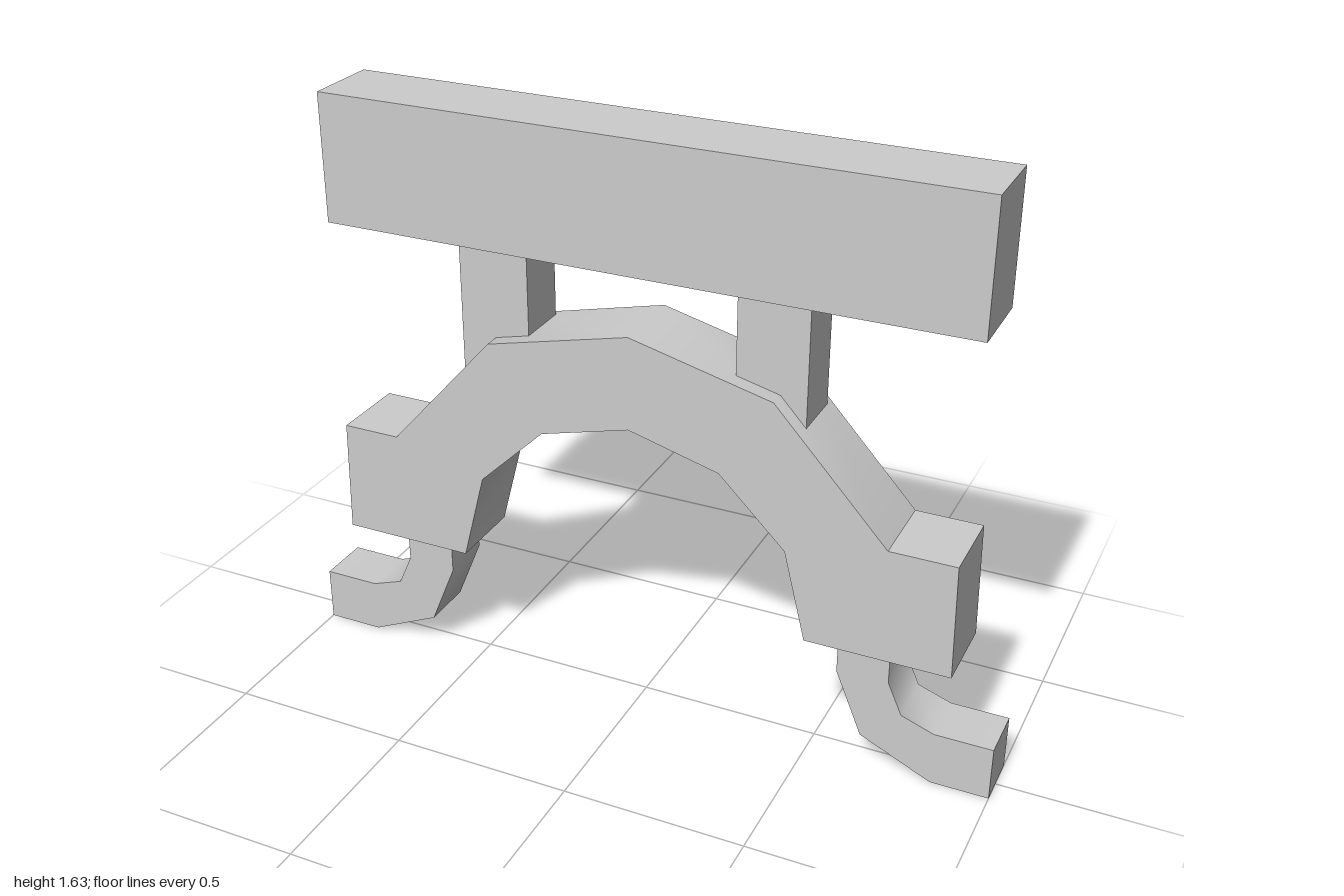
import * as THREE from 'three';
import { toCreasedNormals } from 'three/addons/utils/BufferGeometryUtils.js';

const material = new THREE.MeshStandardMaterial({ color: 0xcccccc });

// Outline in x/y extruded between two z planes, smooth below the crease angle
function slab(name, points, zBack, zFront, crease) {
  const shape = new THREE.Shape(points.map(([x, y]) => new THREE.Vector2(x, y)));
  const geometry = new THREE.ExtrudeGeometry(shape, { depth: zFront - zBack, bevelEnabled: false });
  geometry.translate(0, 0, zBack);
  const mesh = new THREE.Mesh(toCreasedNormals(geometry, crease), material);
  mesh.name = name;
  return mesh;
}

// Box given by its limits
function block(name, x0, x1, y0, y1, z0, z1) {
  const mesh = new THREE.Mesh(new THREE.BoxGeometry(x1 - x0, y1 - y0, z1 - z0), material);
  mesh.position.set((x0 + x1) / 2, (y0 + y1) / 2, (z0 + z1) / 2);
  mesh.name = name;
  return mesh;
}

export function createModel() {
  const group = new THREE.Group();
  group.name = 'archedStand';

  // Top beam and the two posts that sink into the arch
  group.add(block('topBeam', -0.865, 0.893, 1.285, 1.635, -0.107, 0.107));
  group.add(block('rightPost', -0.498, -0.303, 0.88, 1.3, -0.085, 0.065));
  group.add(block('leftPost', 0.272, 0.46, 0.88, 1.3, -0.085, 0.065));

  // Faceted arch with square shoulders
  group.add(slab('arch', [
    [-0.87, 0.37], [-0.5, 0.37], [-0.435, 0.62], [-0.25, 0.8], [0, 0.867],
    [0.25, 0.8], [0.433, 0.62], [0.495, 0.37], [0.885, 0.37], [0.878, 0.69],
    [0.7, 0.69], [0.39, 1.028], [0, 1.125], [-0.4, 1.028], [-0.7, 0.69], [-0.862, 0.69],
  ], -0.11, 0.11, 0.65));

  // Curved feet turning outwards, mirrored
  const foot = [
    [0.573, 0.4], [0.573, 0.27], [0.647, 0.09], [0.843, 0], [1, 0],
    [1, 0.153], [0.843, 0.153], [0.753, 0.185], [0.713, 0.275], [0.713, 0.4],
  ];
  for (const side of [1, -1]) {
    const points = foot.map(([x, y]) => [x * side, y]);
    group.add(slab(side > 0 ? 'leftFoot' : 'rightFoot', points, -0.085, 0.065, 0.9));
  }
  return group;
}
